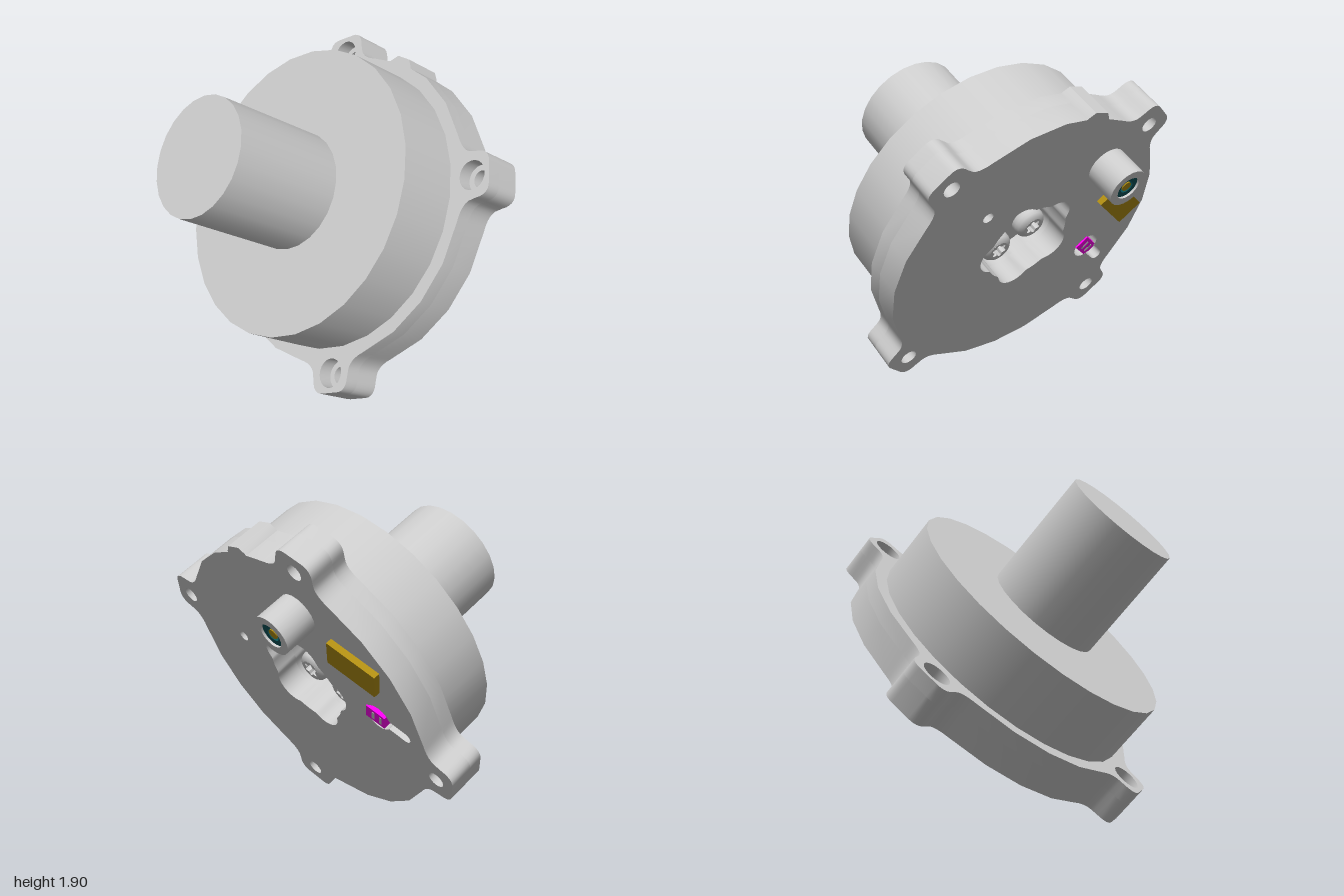
import * as THREE from 'three';
import { toCreasedNormals } from 'three/addons/utils/BufferGeometryUtils.js';

const material = (color) => new THREE.MeshStandardMaterial({ color });
const GREY = material(0xcccccc), GOLD = material(0xb08d12);
const TEAL = material(0x0a5258), MAGENTA = material(0xff00ee);

const polar = (r, a) => new THREE.Vector2(r * Math.cos(a), r * Math.sin(a));
const rad = THREE.MathUtils.degToRad;

function add(parent, name, geometry, mat = GREY) {
  const mesh = new THREE.Mesh(geometry, mat);
  mesh.name = name;
  parent.add(mesh);
  return mesh;
}

// Cylinder along local z between z0 and z1
function rod(r, z0, z1, sides = 24) {
  return new THREE.CylinderGeometry(r, r, z1 - z0, sides).rotateX(Math.PI / 2).translate(0, 0, (z0 + z1) / 2);
}

// Shape pushed along local z between z0 and z1, smooth walls and sharp rims
function slab(shape, z0, z1) {
  const geo = new THREE.ExtrudeGeometry(shape, { depth: z1 - z0, bevelEnabled: false, curveSegments: 6 });
  return toCreasedNormals(geo.translate(0, 0, z0), 0.55);
}

function circle(x, y, r, sides = 20) {
  const pts = [];
  for (let i = 0; i < sides; i++) pts.push(polar(r, (i / sides) * 2 * Math.PI).add(new THREE.Vector2(x, y)));
  return new THREE.Path(pts);
}

const LUGS = [57.5, 147.5, 237.5, 327.5].map(rad);
const BOLTS = [57, 129, 201, 273, 345].map(rad);
const SLOT = { x: 0.6, y: -0.14, angle: -0.58 };

// Round plate outline with four filleted lugs
function plateOutline() {
  const R = 0.945, edge = Math.asin(0.25 / R), shape = new THREE.Shape();
  LUGS.forEach((a, i) => {
    const p = (u, v) => {
      const q = new THREE.Vector2(u, v).rotateAround(new THREE.Vector2(), a);
      return [q.x, q.y];
    };
    const start = p(R * Math.cos(edge), -0.25);
    if (i === 0) shape.moveTo(...start);
    shape.quadraticCurveTo(...p(0.945, -0.145), ...p(1.01, -0.14));
    shape.lineTo(...p(1.04, -0.135));
    shape.quadraticCurveTo(...p(1.125, -0.13), ...p(1.125, -0.06));
    shape.lineTo(...p(1.125, 0.06));
    shape.quadraticCurveTo(...p(1.125, 0.13), ...p(1.04, 0.135));
    shape.lineTo(...p(1.01, 0.14));
    shape.quadraticCurveTo(...p(0.945, 0.145), ...p(R * Math.cos(edge), 0.25));
    const span = Math.PI / 2 - 2 * edge;
    for (let k = 1; k <= 4; k++) {
      const q = polar(R, a + edge + (span * k) / 4);
      shape.lineTo(q.x, q.y);
    }
  });
  return shape;
}

// Scalloped pocket around the five bolts
function pocketPath() {
  const pts = [], c = 0.222, lobe = 0.118;
  for (let i = 0; i < 100; i++) {
    const a = (i / 100) * 2 * Math.PI;
    let r = 0.285;
    for (const b of BOLTS) {
      const s = lobe ** 2 - (c * Math.sin(a - b)) ** 2;
      if (Math.cos(a - b) > 0 && s > 0) r = Math.max(r, c * Math.cos(a - b) + Math.sqrt(s));
    }
    pts.push(polar(r, a));
  }
  return new THREE.Path(pts);
}

// Round opening running out into a narrow slot
function keyholePath() {
  const pts = [], r = 0.09, w = 0.037, a0 = Math.asin(w / r);
  for (let i = 0; i <= 14; i++) pts.push(polar(r, a0 + ((2 * Math.PI - 2 * a0) * i) / 14));
  for (let i = 0; i <= 6; i++) pts.push(polar(w, -Math.PI / 2 + (Math.PI * i) / 6).add(new THREE.Vector2(0.2, 0)));
  const o = new THREE.Vector2();
  return new THREE.Path(pts.map((p) => p.rotateAround(o, SLOT.angle).add(new THREE.Vector2(SLOT.x, SLOT.y))));
}

function plateLayer(lugHole) {
  const shape = plateOutline();
  for (const a of LUGS) {
    const p = polar(1.01, a);
    shape.holes.push(circle(p.x, p.y, lugHole));
  }
  shape.holes.push(pocketPath(), keyholePath(), circle(-0.456, 0.274, 0.036, 12));
  return shape;
}

// Domed screw with a six-lobed recess
function makeBolt() {
  const bolt = new THREE.Group();
  bolt.name = 'bolt';
  const profile = [[0.105, 0], [0.105, 0.035], [0.099, 0.058], [0.085, 0.074], [0.065, 0.082]];
  const dome = new THREE.LatheGeometry(profile.map((p) => new THREE.Vector2(...p)), 24).rotateX(Math.PI / 2);
  add(bolt, 'boltHead', dome);
  const top = new THREE.Shape(circle(0, 0, 0.066, 24).getPoints());
  const star = [];
  for (let i = 0; i < 36; i++) {
    const a = (i / 36) * 2 * Math.PI;
    star.push(polar(0.045 + 0.009 * Math.cos(6 * a), a));
  }
  top.holes.push(new THREE.Path(star));
  add(bolt, 'boltRecess', slab(top, 0.02, 0.082));
  add(bolt, 'boltCore', rod(0.064, 0, 0.025));
  return bolt;
}

export function createModel() {
  const model = new THREE.Group();
  model.name = 'motorHousing';

  // Local frame: z points out of the rear face, origin at its middle
  const body = new THREE.Group();
  body.name = 'body';
  const ez = new THREE.Vector3(0.57, -0.543, -0.616).normalize();
  const ey = ez.clone().cross(new THREE.Vector3(-0.728, -0.015, -0.661)).normalize();
  const ex = ey.clone().cross(ez);
  body.quaternion.setFromRotationMatrix(new THREE.Matrix4().makeBasis(ex, ey, ez));
  body.position.set(0.07, 0.826, -0.145);
  model.add(body);

  // Shaft, drum and flange with counterbored lugs
  add(body, 'shaft', rod(0.352, -1.35, -0.633));
  add(body, 'drum', rod(0.864, -0.633, -0.244, 28));
  add(body, 'flangeFront', slab(plateLayer(0.086), -0.245, -0.155));
  add(body, 'flangeRear', slab(plateLayer(0.052), -0.155, 0));

  // Ridge on the rim
  const ridge = new THREE.Shape([[0.92, -0.1], [0.945, -0.085], [0.98, -0.05], [0.98, 0.05], [0.945, 0.085], [0.92, 0.1]]
    .map(([u, v]) => new THREE.Vector2(u, v).rotateAround(new THREE.Vector2(), rad(87.3))));
  add(body, 'rimRidge', slab(ridge, -0.245, 0));

  // Ring of bolts in the pocket
  for (const a of BOLTS) {
    const bolt = makeBolt(), p = polar(0.222, a);
    bolt.position.set(p.x, p.y, -0.245);
    body.add(bolt);
  }

  // Round connector with insulator ring and pin
  const connector = new THREE.Group();
  connector.name = 'connector';
  connector.position.set(0.35, 0.56, 0);
  body.add(connector);
  const ring = (r, hole) => {
    const s = new THREE.Shape(circle(0, 0, r, 20).getPoints());
    s.holes.push(circle(0, 0, hole, 20));
    return s;
  };
  add(connector, 'connectorSleeve', slab(ring(0.13, 0.079), 0, 0.21));
  add(connector, 'insulator', slab(ring(0.08, 0.045), 0, 0.195), TEAL);
  add(connector, 'insulatorBase', rod(0.05, 0, 0.15), TEAL);
  add(connector, 'pin', rod(0.032, 0.1, 0.195, 16), GOLD);

  // Rectangular plate
  const tag = add(body, 'tagPlate', new THREE.BoxGeometry(0.35, 0.18, 0.04), GOLD);
  tag.position.set(0.652, 0.243, 0.02);
  tag.rotation.z = rad(-32.8);

  // Plug lying in the keyhole slot
  const plug = new THREE.Group();
  plug.name = 'plug';
  plug.position.set(SLOT.x, SLOT.y, -0.05);
  plug.rotation.z = SLOT.angle;
  body.add(plug);
  add(plug, 'plugHead', new THREE.BoxGeometry(0.14, 0.1, 0.1), MAGENTA).position.set(-0.015, 0, 0.01);
  add(plug, 'plugStem', new THREE.BoxGeometry(0.16, 0.058, 0.07), MAGENTA).position.set(0.12, 0, -0.04);
  for (const x of [-0.03, 0.025]) {
    add(plug, 'plugContact', new THREE.BoxGeometry(0.018, 0.06, 0.01)).position.set(x, 0, 0.057);
  }
  return model;
}
